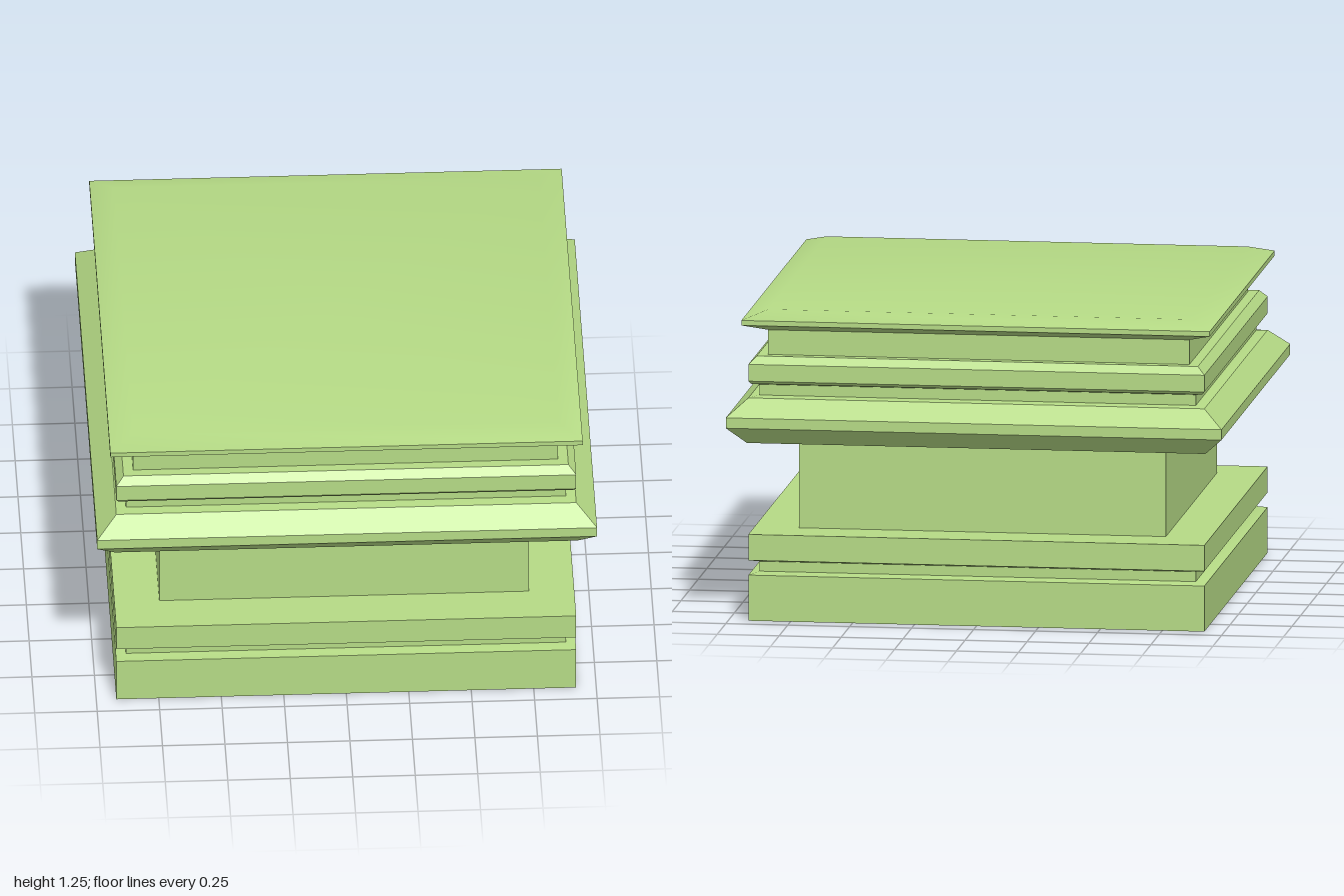
import * as THREE from 'three';
import { toCreasedNormals } from 'three/addons/utils/BufferGeometryUtils.js';

const material = new THREE.MeshStandardMaterial({ color: 0xb5da85 });

// Sweeps a profile of [half width, height] points around a square plan.
function squareMoulding(name, profile) {
  const points = profile.map(([w, y]) => new THREE.Vector2(w * Math.SQRT2, y));
  const lathe = new THREE.LatheGeometry(points, 4, Math.PI / 4);
  const mesh = new THREE.Mesh(toCreasedNormals(lathe, 0.5), material);
  mesh.name = name;
  return mesh;
}

export function createModel() {
  const group = new THREE.Group();
  group.name = 'pedestal';
  // Each section starts where the one below it ends, forming one closed skin.
  group.add(
    squareMoulding('plinth', [[0, 0], [0.92, 0], [0.92, 0.185], [0.88, 0.195]]),
    squareMoulding('lowerGroove', [[0.88, 0.195], [0.88, 0.235]]),
    squareMoulding('baseSlab', [[0.88, 0.235], [0.92, 0.245], [0.92, 0.35], [0.74, 0.35]]),
    squareMoulding('shaft', [[0.74, 0.35], [0.74, 0.722]]),
    // Widest moulding, bevelled above and below
    squareMoulding('cornice', [
      [0.74, 0.722], [0.925, 0.722], [1, 0.793], [1, 0.835], [0.92, 0.904], [0.88, 0.91],
    ]),
    squareMoulding('upperGroove', [[0.88, 0.91], [0.88, 0.953]]),
    squareMoulding('upperBand', [
      [0.88, 0.953], [0.91, 0.96], [0.92, 0.972], [0.92, 1.04], [0.89, 1.07], [0.85, 1.07],
    ]),
    squareMoulding('neck', [[0.85, 1.07], [0.85, 1.17]]),
    // Thin cap with a shallow top slope
    squareMoulding('capSlab', [
      [0.85, 1.17], [0.945, 1.202], [0.945, 1.222], [0.85, 1.253], [0, 1.253],
    ]),
  );
  return group;
}
